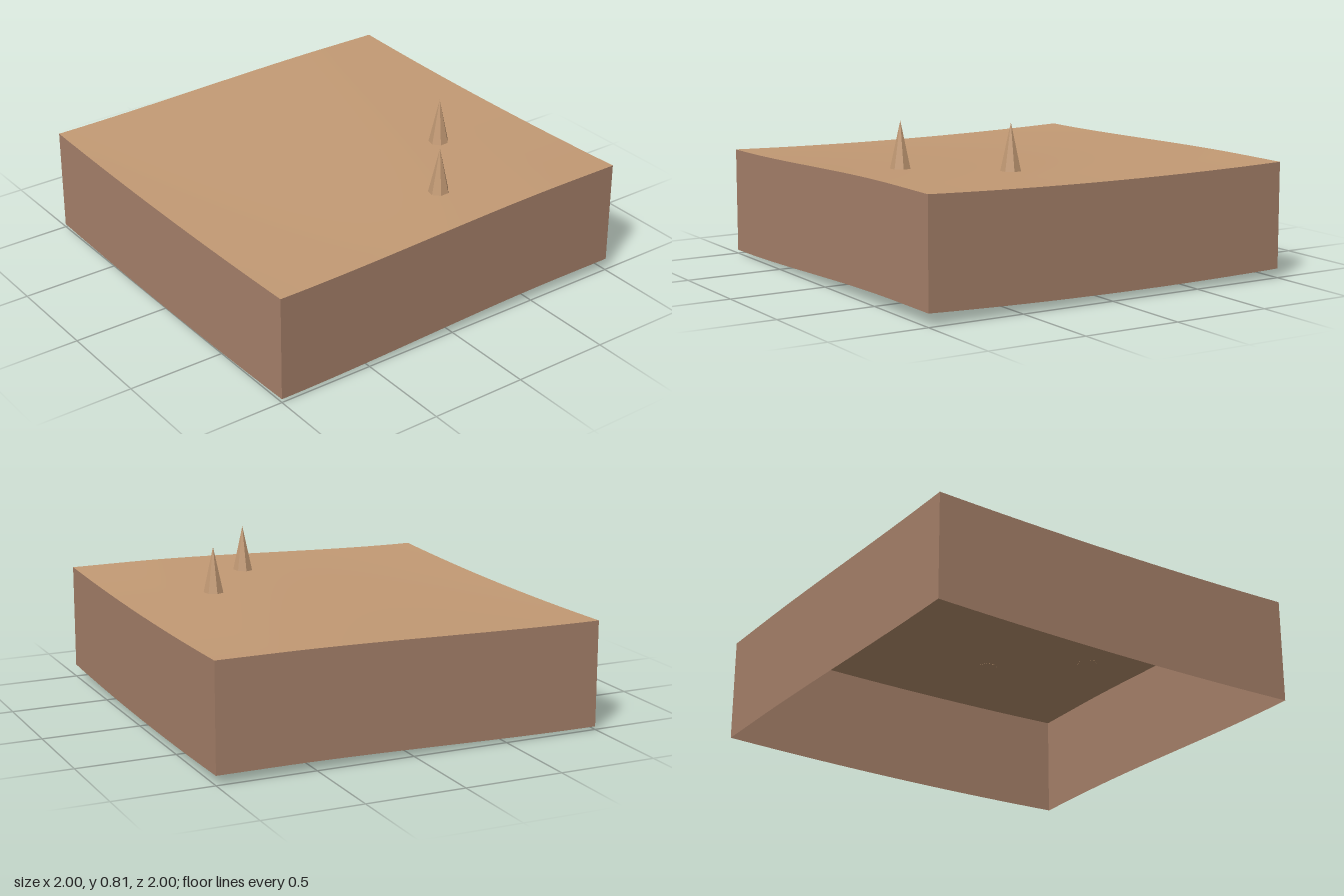
import * as THREE from 'three';

const DEPTH = 0.535;   // height of the side walls
const SEGMENTS = 32;

// gentle rise towards +x, with a shallow trough across the middle
function groundHeight(x, z) {
  const rise = THREE.MathUtils.smoothstep(x, -1, 0.7);
  const back = 0.016 + 0.031 * rise;
  const front = 0.018 + 0.046 * rise;
  return DEPTH + THREE.MathUtils.lerp(back, front, (z + 1) / 2) - 0.017 * (1 - z * z);
}

// raise every vertex by the ground height at its place
function drape(geometry, offset) {
  const p = geometry.attributes.position;
  for (let i = 0; i < p.count; i++) {
    p.setY(i, p.getY(i) + groundHeight(p.getX(i), p.getZ(i)) + offset);
  }
  geometry.computeVertexNormals();
  return geometry;
}

export function createModel() {
  const sand = new THREE.MeshStandardMaterial({ name: 'sand', color: 0xc49b75, side: THREE.DoubleSide });
  const earth = new THREE.MeshStandardMaterial({ name: 'earth', color: 0xa8826b, side: THREE.DoubleSide });
  const spikeTan = new THREE.MeshStandardMaterial({ name: 'spikeTan', color: 0xc49b75, flatShading: true });

  const model = new THREE.Group();
  model.name = 'terrainTile';
  const add = (name, geometry, material) => {
    const mesh = new THREE.Mesh(geometry, material);
    mesh.name = name;
    model.add(mesh);
    return mesh;
  };

  // rolling top surface
  const top = new THREE.PlaneGeometry(2, 2, SEGMENTS, SEGMENTS).rotateX(-Math.PI / 2);
  add('ground', drape(top, 0), sand);

  // four side walls that follow the ground, open underneath
  ['frontWall', 'leftWall', 'backWall', 'rightWall'].forEach((name, i) => {
    const wall = new THREE.PlaneGeometry(2, DEPTH, SEGMENTS, 1)
      .translate(0, 0, 1)
      .rotateY(i * Math.PI / 2);
    add(name, drape(wall, -DEPTH / 2), earth);
  });

  // seven-sided spikes standing on the ground
  const height = 0.236;
  for (const [name, x, z] of [['leftSpike', 0.5, 0.25], ['frontSpike', 0.165, 0.667]]) {
    const cone = new THREE.ConeGeometry(0.052, height, 7, 1, false, Math.PI);
    add(name, cone, spikeTan).position.set(x, groundHeight(x, z) + height / 2 - 0.002, z);
  }

  return model;
}
